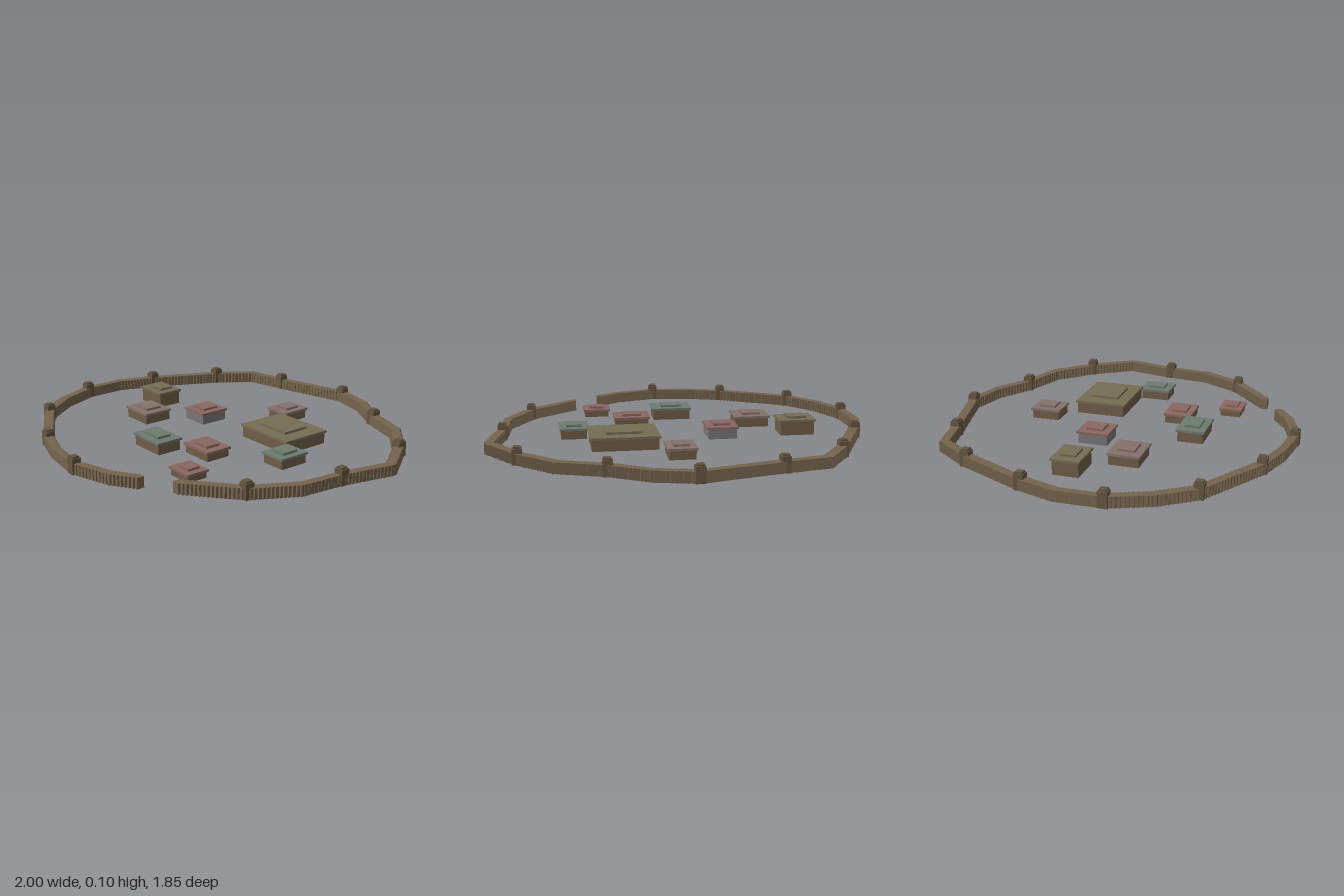
import * as THREE from 'three';
import { mergeGeometries } from 'three/addons/utils/BufferGeometryUtils.js';

// Palisade course, from one side of the gate round to the other; third value marks a tower
const COURSE = [
  [0.525, 0.65], [0.765, 0.45, 1], [0.89, 0.23], [0.915, 0, 1], [0.978, -0.27],
  [0.835, -0.485, 1], [0.655, -0.66], [0.425, -0.74, 1], [0.23, -0.855], [0.025, -0.905, 1],
  [-0.39, -0.8, 1], [-0.61, -0.755], [-0.74, -0.57, 1], [-0.915, -0.21, 1], [-0.98, -0.01],
  [-0.975, 0.215, 1], [-0.89, 0.42], [-0.76, 0.595, 1], [-0.39, 0.81, 1], [-0.205, 0.87],
  [0.02, 0.9, 1], [0.24, 0.835], [0.355, 0.76],
];

const MAUVE = 0x84726b, OLIVE = 0x766c54, RED = 0x89675e, GREEN = 0x6d7a70;
const TIMBER = 0x6f5d47, STONE = 0x77757a;

// Houses: roof centre x, z, roof width, depth, total height, roof colour, wall colour
const HOUSES = [
  [0.045, -0.452, 0.15, 0.165, 0.07, MAUVE, TIMBER],
  [0.302, -0.19, 0.355, 0.28, 0.083, OLIVE, TIMBER],
  [-0.222, -0.082, 0.165, 0.17, 0.076, RED, STONE],
  [-0.63, -0.067, 0.195, 0.15, 0.096, OLIVE, TIMBER],
  [0.547, 0.023, 0.15, 0.17, 0.07, GREEN, TIMBER],
  [-0.432, 0.157, 0.195, 0.17, 0.073, MAUVE, TIMBER],
  [0.218, 0.25, 0.195, 0.15, 0.064, RED, TIMBER],
  [-0.02, 0.385, 0.22, 0.15, 0.078, GREEN, TIMBER],
  [0.395, 0.498, 0.15, 0.125, 0.056, RED, TIMBER],
];

const material = (color) => new THREE.MeshStandardMaterial({ color, flatShading: true });

// Box standing on height y
function boxAt(w, h, d, x, y, z) {
  return new THREE.BoxGeometry(w, h, d).translate(x, y + h / 2, z);
}

function addMesh(parent, name, geometry, mat) {
  const mesh = new THREE.Mesh(geometry, mat);
  mesh.name = name;
  parent.add(mesh);
}

export function createModel() {
  const model = new THREE.Group();
  model.name = 'walledVillage';

  // Palisade: square stakes stepped closely along the course
  const stakes = [];
  for (let i = 0; i < COURSE.length - 1; i++) {
    const [x0, z0] = COURSE[i], [x1, z1] = COURSE[i + 1];
    const n = Math.max(1, Math.round(Math.hypot(x1 - x0, z1 - z0) / 0.02));
    const last = i === COURSE.length - 2 ? n : n - 1;
    for (let k = 0; k <= last; k++) {
      const t = k / n;
      stakes.push(boxAt(0.04, 0.056, 0.04, x0 + (x1 - x0) * t, 0, z0 + (z1 - z0) * t));
    }
  }
  addMesh(model, 'palisade', mergeGeometries(stakes), material(0x75644d));

  // Watch towers: square post with a smaller cap
  const towerMat = material(0x655541);
  for (const [x, z, tower] of COURSE) {
    if (!tower) continue;
    const group = new THREE.Group();
    group.name = 'watchTower';
    group.position.set(x, 0, z);
    addMesh(group, 'towerPost', boxAt(0.048, 0.08, 0.048, 0, 0, 0), towerMat);
    addMesh(group, 'towerCap', boxAt(0.036, 0.009, 0.036, 0, 0.08, 0), towerMat);
    model.add(group);
  }

  // Houses: walls, overhanging roof slab and a raised ridge block
  const slab = 0.012;
  for (const [x, z, w, d, height, roofColor, wallColor] of HOUSES) {
    const house = new THREE.Group();
    house.name = 'house';
    house.position.set(x, 0, z);
    const eaves = height - 2 * slab;
    const roofMat = material(roofColor);
    addMesh(house, 'houseWalls', boxAt(w - 0.016, eaves, d - 0.016, 0, 0, 0), material(wallColor));
    addMesh(house, 'roofSlab', boxAt(w, slab, d, 0, eaves, 0), roofMat);
    addMesh(house, 'roofTop', boxAt(w * 0.53, slab, d * 0.53, 0, eaves + slab, 0), roofMat);
    model.add(house);
  }
  return model;
}
